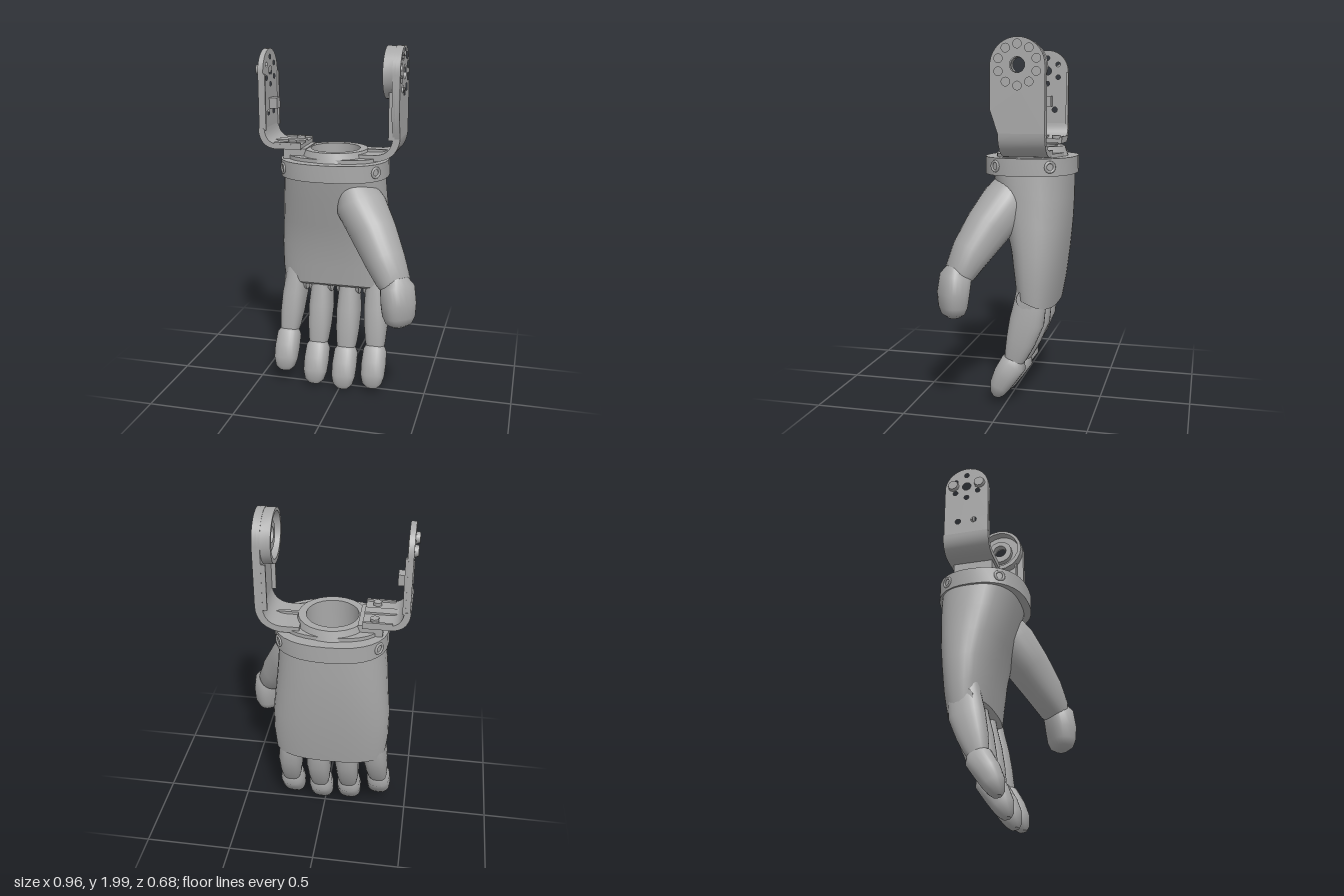
import * as THREE from 'three';
import { toCreasedNormals } from 'three/addons/utils/BufferGeometryUtils.js';

const V = (x, y, z) => new THREE.Vector3(x, y, z);
const grey = new THREE.MeshStandardMaterial({ color: 0xa8a8a8 });
grey.name = 'plasticGrey';

function add(group, name, geometry) {
  const mesh = new THREE.Mesh(geometry, grey);
  mesh.name = name;
  group.add(mesh);
  return mesh;
}

const power = (v, n) => Math.sign(v) * Math.pow(Math.abs(v), 2 / n);

// Skin through rounded rings [x, y, z, halfWidth, halfDepth, tilt?], running downwards
function loft(rings, u, n = 2.5, openTop = false, segs = 24) {
  const pos = [], idx = [];
  const centres = rings.map(r => V(r[0], r[1], r[2]));
  rings.forEach((r, i) => {
    const t = centres[Math.min(i + 1, rings.length - 1)].clone()
      .sub(centres[Math.max(i - 1, 0)]).normalize();
    const v = r[5] === undefined ? t.cross(u).normalize() : V(0, r[5], 1);
    for (let j = 0; j < segs; j++) {
      const a = j / segs * Math.PI * 2;
      const p = centres[i].clone().addScaledVector(u, r[3] * power(Math.cos(a), n))
        .addScaledVector(v, r[4] * power(Math.sin(a), n));
      pos.push(p.x, p.y, p.z);
    }
  });
  const top = rings.length * segs, last = (rings.length - 1) * segs;
  for (const c of [centres[0], centres[centres.length - 1]]) pos.push(c.x, c.y, c.z);
  for (let j = 0; j < segs; j++) {
    const k = (j + 1) % segs;
    for (let i = 0; i < last; i += segs) {
      idx.push(i + j, i + k, i + segs + j, i + k, i + segs + k, i + segs + j);
    }
    if (!openTop) idx.push(top, k, j);
    idx.push(top + 1, last + j, last + k);
  }
  const g = new THREE.BufferGeometry();
  g.setAttribute('position', new THREE.Float32BufferAttribute(pos, 3));
  g.setIndex(idx);
  return toCreasedNormals(g, 0.75);
}

function circleHole(shape, x, y, r) {
  shape.holes.push(new THREE.Path().absarc(x, y, r, 0, Math.PI * 2, true));
}

function extrude(shape, depth) {
  return new THREE.ExtrudeGeometry(shape, { depth, bevelEnabled: false, curveSegments: 10 });
}

// Horizontal rounded plate around the wrist axis
const CX = -0.055, CZ = -0.09;
function wristPlate(hx, hz, y, h) {
  const pts = [];
  for (let i = 0; i < 32; i++) {
    const a = i / 32 * Math.PI * 2;
    pts.push(new THREE.Vector2(CX + hx * power(Math.cos(a), 2.4), -CZ + hz * power(Math.sin(a), 2.4)));
  }
  const s = new THREE.Shape(pts);
  circleHole(s, CX, -CZ, 0.15);
  return toCreasedNormals(extrude(s, h).rotateX(-Math.PI / 2).translate(0, y, 0), 0.4);
}

// Upright plate in the yz plane with a round top; shape x is -z
function armPlate(c, r, yc, y0, inset, x, depth, holes) {
  const s = new THREE.Shape();
  s.moveTo(c - r + inset, y0);
  s.lineTo(c - r, y0 + 0.12);
  s.lineTo(c - r, yc);
  s.absarc(c, yc, r, Math.PI, 0, true);
  s.lineTo(c + r, y0);
  for (const [a, b, rad] of holes) circleHole(s, a, b, rad);
  return toCreasedNormals(extrude(s, depth).rotateY(Math.PI / 2).translate(x, 0, 0), 0.5);
}

function box(x0, x1, y0, y1, z0, z1) {
  return new THREE.BoxGeometry(x1 - x0, y1 - y0, z1 - z0)
    .translate((x0 + x1) / 2, (y0 + y1) / 2, (z0 + z1) / 2);
}

function ringOfHoles(c, y, radius, count, r) {
  return Array.from({ length: count }, (_, i) => {
    const a = (i + 0.5) / count * Math.PI * 2;
    return [c + radius * Math.cos(a), y + radius * Math.sin(a), r];
  });
}

export function createModel() {
  const model = new THREE.Group();
  model.name = 'roboticHand';

  // Palm: [y, xMin, xMax, zFront, zBack, tilt]
  const palm = [
    [1.29, -0.345, 0.225, 0.12, -0.32, 0], [1.15, -0.36, 0.235, 0.085, -0.318, 0],
    [1.0, -0.372, 0.25, 0.04, -0.31, 0], [0.85, -0.385, 0.268, 0.005, -0.293, 0.1],
    [0.7, -0.385, 0.27, -0.015, -0.27, 0.3], [0.585, -0.372, 0.262, -0.03, -0.248, 0.4],
    [0.577, -0.35, 0.24, -0.05, -0.23, 0.4],
  ].map(([y, x0, x1, z0, z1, t]) => [(x0 + x1) / 2, y, (z0 + z1) / 2, (x1 - x0) / 2, (z0 - z1) / 2, t]);
  add(model, 'palm', loft(palm, V(1, 0, 0), 2.6, true, 40));

  // Thumb
  const across = V(0.73, 0, -0.68).normalize();
  add(model, 'thumbBase', loft([
    [0.07, 1.25, -0.02, 0.1, 0.08], [0.12, 1.13, 0.02, 0.14, 0.13], [0.21, 1.0, 0.1, 0.125, 0.125],
    [0.29, 0.87, 0.175, 0.11, 0.105], [0.345, 0.77, 0.22, 0.095, 0.08], [0.365, 0.72, 0.24, 0.07, 0.05],
  ], across, 2.2));
  add(model, 'thumbTip', loft([
    [0.36, 0.79, 0.225, 0.06, 0.06], [0.37, 0.75, 0.237, 0.092, 0.078], [0.38, 0.66, 0.248, 0.096, 0.078],
    [0.383, 0.59, 0.25, 0.09, 0.07], [0.383, 0.55, 0.25, 0.072, 0.056], [0.383, 0.53, 0.25, 0.04, 0.03],
  ], across, 2.6));

  // Four fingers: [root x, tip x, raise]
  const fingers = { little: [-0.3, -0.333, 0.08], ring: [-0.148, -0.152, 0.015],
    middle: [0.02, 0.02, 0], index: [0.18, 0.197, 0.025] };
  for (const [name, [xr, xt, dy]] of Object.entries(fingers)) {
    const finger = new THREE.Group();
    finger.name = name + 'Finger';
    model.add(finger);
    const place = ([y, z, w, d]) => [THREE.MathUtils.lerp(xt, xr, Math.min(1, Math.max(0, (y - 0.2) / 0.4))), y + dy, z, w, d];
    add(finger, 'proximalSegment', loft([
      [0.66, -0.135, 0.05, 0.075], [0.56, -0.13, 0.062, 0.088], [0.45, -0.112, 0.07, 0.096],
      [0.34, -0.08, 0.066, 0.082], [0.26, -0.055, 0.058, 0.065], [0.2, -0.035, 0.045, 0.045],
    ].map(place), V(1, 0, 0), 2.8));
    add(finger, 'fingerTip', loft([
      [0.24, -0.055, 0.05, 0.05], [0.21, -0.04, 0.068, 0.074], [0.14, 0.004, 0.072, 0.07],
      [0.08, 0.035, 0.069, 0.06], [0.035, 0.05, 0.056, 0.042], [0.012, 0.055, 0.03, 0.022],
    ].map(place), V(1, 0, 0), 2.6));
    // hinge tabs at the knuckle
    for (const s of [-1, 1]) {
      add(finger, 'knuckleTab', new THREE.CylinderGeometry(0.055, 0.055, 0.016, 16)
        .rotateZ(Math.PI / 2).translate(xr + s * 0.058, 0.61, -0.12));
    }
  }

  // Wrist cuff, plate and open socket
  add(model, 'wristCuff', wristPlate(0.305, 0.253, 1.28, 0.095));
  add(model, 'wristPlate', wristPlate(0.27, 0.19, 1.375, 0.02));
  const profile = [[0.2, 1.375], [0.182, 1.43], [0.14, 1.43], [0.14, 1.17], [0, 1.17]]
    .map(p => new THREE.Vector2(...p));
  add(model, 'wristSocket', toCreasedNormals(new THREE.LatheGeometry(profile, 24), 0.5)).position.set(CX, 0, CZ);
  for (const sx of [-1, 1]) for (const sz of [-1, 1]) {
    const screw = add(model, 'cuffScrewRim', new THREE.TorusGeometry(0.026, 0.008, 6, 14));
    screw.position.set(CX + sx * 0.263, 1.33, CZ + sz * 0.15);
    screw.lookAt(screw.position.clone().add(V(sx * 2.67, 0, sz * 1.9)));
  }

  // Left arm with the round hub
  const left = new THREE.Group();
  left.name = 'leftBracket';
  model.add(left);
  const elbowL = new THREE.Shape();
  elbowL.moveTo(0.1, 1.38);
  elbowL.lineTo(0.2, 1.38);
  elbowL.quadraticCurveTo(0.325, 1.4, 0.33, 1.52);
  elbowL.lineTo(0.29, 1.52);
  elbowL.quadraticCurveTo(0.285, 1.42, 0.19, 1.415);
  elbowL.lineTo(0.1, 1.415);
  add(left, 'leftElbow', toCreasedNormals(extrude(elbowL, 0.25).translate(0, 0, -0.235), 0.5));
  add(left, 'elbowRib', box(0.1, 0.25, 1.41, 1.43, -0.105, -0.085));
  const hubHoles = ringOfHoles(0.09, 1.86, 0.105, 10, 0.022);
  add(left, 'leftArm', armPlate(0.09, 0.145, 1.855, 1.51, 0.04, 0.305, 0.025, [[0.09, 1.86, 0.04], ...hubHoles]));
  add(left, 'leftArmBacking', armPlate(0.09, 0.145, 1.855, 1.51, 0.04, 0.288, 0.017, [[0.09, 1.86, 0.04]]));
  for (const [name, x, depth, inner] of [['hubRim', 0.235, 0.06, 0.122], ['hubCore', 0.255, 0.04, 0.04]]) {
    const s = new THREE.Shape().absarc(0.09, 1.855, name === 'hubRim' ? 0.143 : 0.075, 0, Math.PI * 2);
    circleHole(s, 0.09, 1.86, inner);
    add(left, name, toCreasedNormals(extrude(s, depth).rotateY(Math.PI / 2).translate(x, 0, 0), 0.5));
  }
  for (const [z, r] of [[-0.228, 0.012], [0.012, 0.012]]) {
    add(left, 'armFlange', box(0.265, 0.3, 1.5, 1.76, z - r / 2, z + r / 2));
  }

  // Right arm with its bolted foot
  const right = new THREE.Group();
  right.name = 'rightBracket';
  model.add(right);
  const elbowR = new THREE.Shape();
  elbowR.moveTo(-0.225, 1.43);
  elbowR.lineTo(-0.38, 1.43);
  elbowR.quadraticCurveTo(-0.465, 1.44, -0.47, 1.54);
  elbowR.lineTo(-0.435, 1.54);
  elbowR.quadraticCurveTo(-0.43, 1.46, -0.36, 1.457);
  elbowR.lineTo(-0.225, 1.457);
  add(right, 'rightElbow', toCreasedNormals(extrude(elbowR, 0.256).translate(0, 0, -0.222), 0.5));
  add(right, 'foot', box(-0.33, -0.2, 1.37, 1.435, -0.2, 0.02));
  add(right, 'centreRail', box(-0.4, -0.225, 1.45, 1.468, -0.115, -0.06));
  add(right, 'rightArm', armPlate(0.094, 0.126, 1.845, 1.53, 0, -0.465, 0.03,
    [[0.094, 1.85, 0.025], ...ringOfHoles(0.094, 1.85, 0.075, 6, 0.014), [0.05, 1.62, 0.016], [0.14, 1.62, 0.016]]));
  for (const z of [-0.216, 0.026]) {
    add(right, 'armRail', box(-0.44, -0.425, 1.53, 1.84, z - 0.007, z + 0.007));
    add(right, 'footRail', box(-0.38, -0.225, 1.45, 1.468, z - 0.007, z + 0.007));
  }
  for (const z of [-0.18, -0.008]) {
    add(right, 'footBolt', new THREE.CylinderGeometry(0.025, 0.025, 0.02, 6).translate(-0.285, 1.465, z));
    add(right, 'outerStud', new THREE.CylinderGeometry(0.028, 0.032, 0.022, 10)
      .rotateZ(Math.PI / 2).translate(-0.474, 1.86, z + (z < -0.1 ? 0.01 : -0.01)));
  }
  add(right, 'innerBlock', box(-0.44, -0.39, 1.64, 1.7, -0.125, -0.065));
  return model;
}
